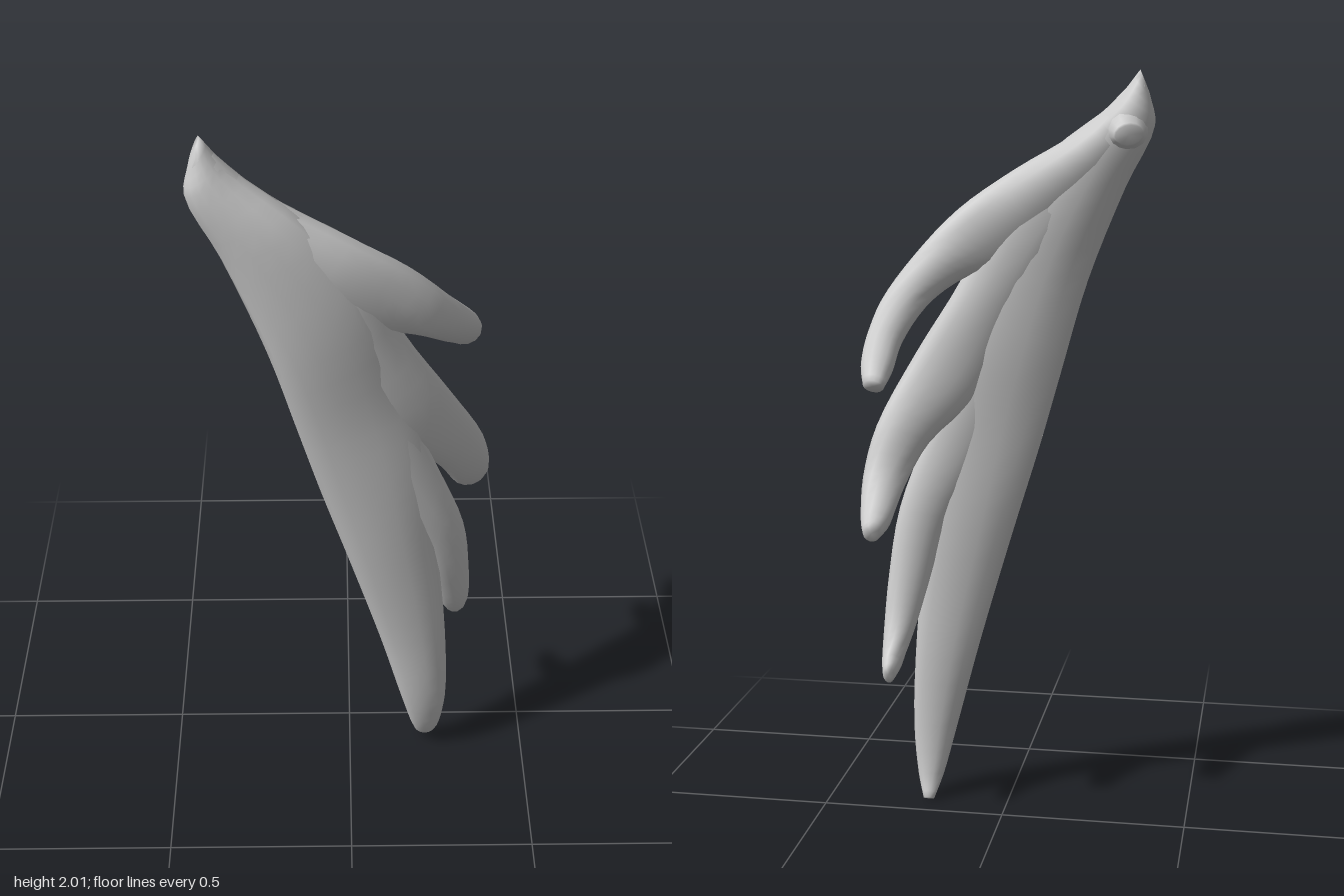
import * as THREE from 'three';

const material = new THREE.MeshStandardMaterial({ color: 0xcccccc, side: THREE.DoubleSide });

// Lofts a lens-shaped blade through stations: [left edge xyz, right edge xyz, thickness]
function blade(name, stations, steps = 4, sides = 14) {
  const curve = (f) => new THREE.CatmullRomCurve3(stations.map(f));
  const left = curve((s) => new THREE.Vector3(s[0], s[1], s[2]));
  const right = curve((s) => new THREE.Vector3(s[3], s[4], s[5]));
  const thick = curve((s, i) => new THREE.Vector3(s[6], i, 0));
  const rings = (stations.length - 1) * steps;
  const centre = (t) => left.getPoint(t).add(right.getPoint(t)).multiplyScalar(0.5);
  const pos = [], index = [];

  for (let i = 0; i <= rings; i++) {
    const t = i / rings, c = centre(t);
    const half = right.getPoint(t).sub(left.getPoint(t)).multiplyScalar(0.5);
    const tangent = centre(Math.min(1, t + 0.01)).sub(centre(Math.max(0, t - 0.01)));
    const normal = tangent.cross(half).normalize().multiplyScalar(thick.getPoint(t).x / 2);
    for (let k = 0; k < sides; k++) {
      const a = (k / sides) * Math.PI * 2;
      const p = c.clone().addScaledVector(half, Math.cos(a)).addScaledVector(normal, Math.sin(a));
      pos.push(p.x, p.y, p.z);
      if (i < rings) {
        const n = (k + 1) % sides, r = i * sides, q = r + sides;
        index.push(r + k, r + n, q + n, r + k, q + n, q + k);
      }
    }
  }
  // Close both ends
  const first = pos.length / 3, last = first + 1, r = rings * sides;
  pos.push(...centre(0).toArray(), ...centre(1).toArray());
  for (let k = 0; k < sides; k++) {
    const n = (k + 1) % sides;
    index.push(first, n, k, last, r + k, r + n);
  }
  const geo = new THREE.BufferGeometry();
  geo.setAttribute('position', new THREE.Float32BufferAttribute(pos, 3));
  geo.setIndex(index);
  geo.computeVertexNormals();
  const mesh = new THREE.Mesh(geo, material);
  mesh.name = name;
  return mesh;
}

export function createModel() {
  const group = new THREE.Group();
  group.name = 'wing';

  // Longest feather, running from the root to the ground
  group.add(blade('mainFeather', [
    [-0.36, 1.94, 0.165, -0.335, 2.0, 0.16, 0.05],
    [-0.375, 1.86, 0.17, -0.27, 1.92, 0.16, 0.11],
    [-0.3, 1.7, 0.18, -0.1, 1.79, 0.18, 0.13],
    [-0.2, 1.45, 0.2, 0.05, 1.6, 0.17, 0.12],
    [-0.13, 1.2, 0.19, 0.15, 1.3, 0.14, 0.1],
    [-0.075, 1.0, 0.18, 0.2, 1.05, 0.14, 0.09],
    [0.0, 0.75, 0.17, 0.23, 0.78, 0.13, 0.09],
    [0.085, 0.45, 0.15, 0.262, 0.47, 0.13, 0.08],
    [0.15, 0.2, 0.14, 0.272, 0.2, 0.125, 0.07],
    [0.185, 0.06, 0.11, 0.255, 0.06, 0.1, 0.05],
    [0.205, 0.0, 0.07, 0.235, 0.0, 0.07, 0.02],
  ]));

  // Upper feather, forming the leading edge and curling backward
  group.add(blade('upperFeather', [
    [-0.36, 1.92, 0.17, -0.335, 1.99, 0.16, 0.06],
    [-0.3, 1.78, 0.17, -0.2, 1.86, 0.16, 0.11],
    [-0.12, 1.6, 0.18, 0.0, 1.74, 0.16, 0.12],
    [0.0, 1.5, 0.17, 0.14, 1.64, 0.13, 0.1],
    [0.12, 1.46, 0.12, 0.25, 1.52, 0.08, 0.1],
    [0.2, 1.4, 0.04, 0.32, 1.41, 0.0, 0.09],
    [0.245, 1.32, -0.08, 0.34, 1.32, -0.09, 0.08],
    [0.25, 1.26, -0.17, 0.335, 1.26, -0.17, 0.07],
    [0.26, 1.22, -0.24, 0.315, 1.22, -0.23, 0.04],
  ]));

  // Middle feather
  group.add(blade('middleFeather', [
    [-0.33, 1.86, 0.16, -0.27, 1.9, 0.16, 0.07],
    [-0.2, 1.6, 0.18, 0.02, 1.7, 0.17, 0.11],
    [-0.02, 1.35, 0.17, 0.13, 1.46, 0.14, 0.1],
    [0.08, 1.15, 0.14, 0.25, 1.26, 0.1, 0.09],
    [0.21, 1.02, 0.07, 0.345, 1.07, 0.03, 0.09],
    [0.26, 0.92, 0.0, 0.372, 0.94, -0.02, 0.08],
    [0.28, 0.84, -0.1, 0.36, 0.84, -0.1, 0.07],
    [0.295, 0.82, -0.16, 0.34, 0.82, -0.16, 0.05],
  ]));

  // Lower feather
  group.add(blade('lowerFeather', [
    [-0.12, 1.45, 0.18, 0.03, 1.5, 0.16, 0.09],
    [0.05, 1.0, 0.16, 0.22, 1.05, 0.13, 0.08],
    [0.17, 0.8, 0.13, 0.3, 0.83, 0.1, 0.08],
    [0.22, 0.62, 0.09, 0.325, 0.64, 0.06, 0.08],
    [0.25, 0.5, 0.04, 0.33, 0.51, 0.02, 0.08],
    [0.27, 0.43, -0.03, 0.325, 0.43, -0.03, 0.07],
    [0.28, 0.41, -0.085, 0.31, 0.41, -0.085, 0.05],
  ]));

  // Short stub on the back of the root
  group.add(blade('rootStub', [
    [-0.365, 1.86, 0.16, -0.25, 1.84, 0.15, 0.12],
    [-0.355, 1.85, 0.12, -0.26, 1.83, 0.115, 0.09],
    [-0.35, 1.84, 0.1, -0.28, 1.83, 0.085, 0.05],
  ]));

  return group;
}
